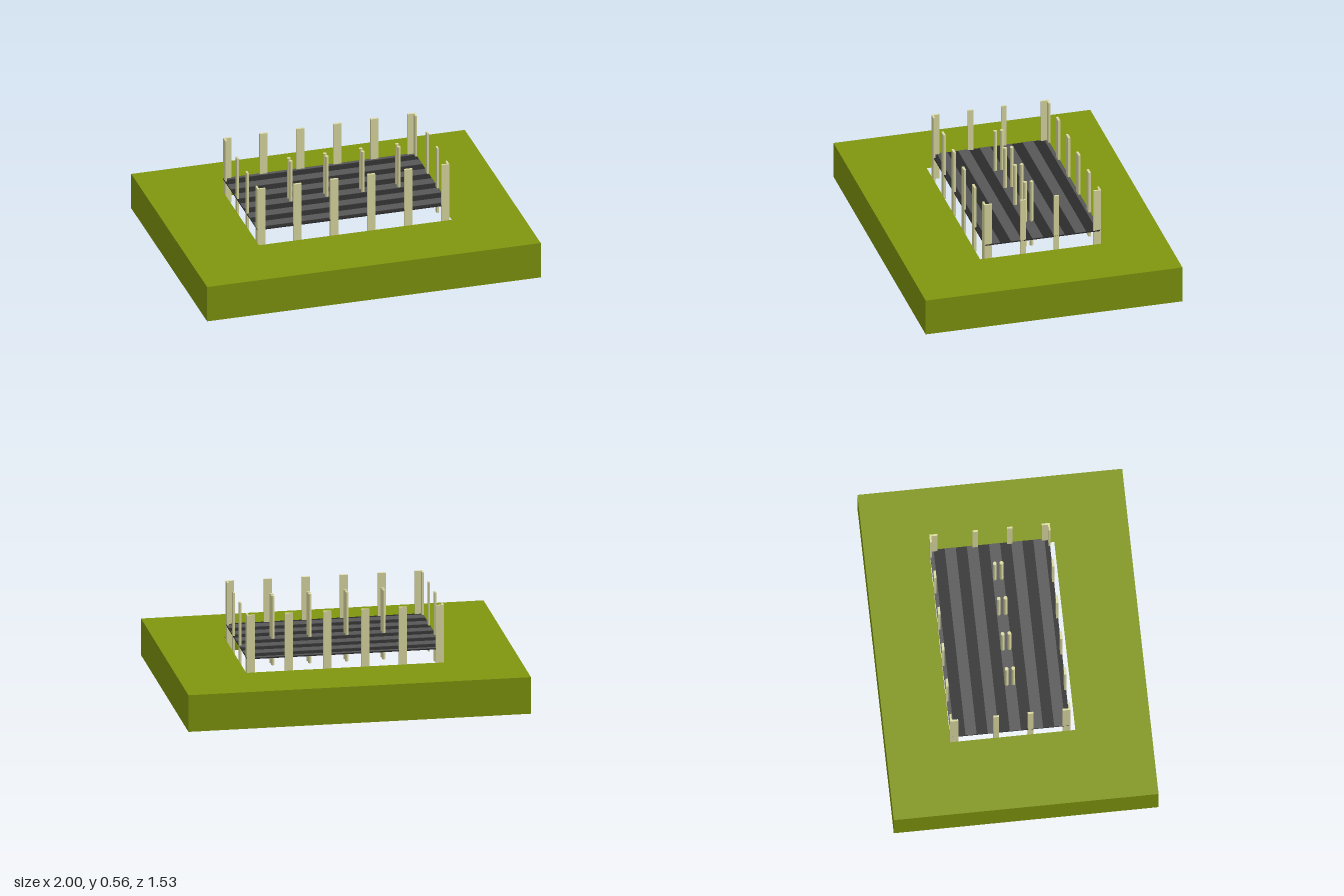
import * as THREE from 'three';

const mat = (color) => new THREE.MeshStandardMaterial({ color, side: THREE.DoubleSide });
const grass = mat(0x80960e);
const wood = mat(0xdcdaa2);
const dark = mat(0x2c2c2c);
const light = mat(0x575757);

// Box given by its limits on each axis
function block(parent, name, material, [x0, x1], [y0, y1], [z0, z1]) {
  const mesh = new THREE.Mesh(new THREE.BoxGeometry(x1 - x0, y1 - y0, z1 - z0), material);
  mesh.position.set((x0 + x1) / 2, (y0 + y1) / 2, (z0 + z1) / 2);
  mesh.name = name;
  parent.add(mesh);
  return mesh;
}

function rectangle(target, x0, x1, y0, y1) {
  target.moveTo(x0, y0).lineTo(x1, y0).lineTo(x1, y1).lineTo(x0, y1).closePath();
  return target;
}

export function createModel() {
  const model = new THREE.Group();
  model.name = 'pavilion';
  const ground = 0.22, halfDepth = 0.765;
  const left = 0.59, right = -0.56, front = 0.3, back = -0.39;
  const postY = [0.15, 0.565];

  // Hollow ground block: thin top with an opening, four thin walls, open below
  const shape = rectangle(new THREE.Shape(), -1, 1, -halfDepth, halfDepth);
  shape.holes.push(rectangle(new THREE.Path(), right, 0.595, -0.33, -back));
  const top = new THREE.Mesh(new THREE.ShapeGeometry(shape), grass);
  top.name = 'groundTop';
  top.rotation.x = -Math.PI / 2;
  top.position.y = ground;
  model.add(top);
  for (let i = 0; i < 4; i++) {
    const across = i % 2 === 0;
    const wall = new THREE.Mesh(new THREE.PlaneGeometry(across ? 2 : 2 * halfDepth, ground), grass);
    const angle = i * Math.PI / 2, reach = across ? halfDepth : 1;
    wall.name = 'groundWall';
    wall.rotation.y = angle;
    wall.position.set(Math.sin(angle) * reach, ground / 2, Math.cos(angle) * reach);
    model.add(wall);
  }

  // Deck slab with lighter stripes on top
  block(model, 'deck', dark, [right, left], [0.3, 0.307], [back, front]);
  const stripe = 0.064;
  for (let i = 0; i < 6; i++) {
    const z = back + 0.022 + stripe * (2 * i - 1);
    block(model, 'deckStripe', light, [right, left], [0.307, 0.309],
      [Math.max(z, back), z + stripe]);
  }

  // Flat posts along the front and back
  const t = 0.011, w = 0.047;
  for (const z of [[front - t, front + 0.003], [back - 0.003, back + t]]) {
    for (const x of [-0.32, -0.1, 0.122, 0.345]) {
      block(model, 'longSidePost', wood, [x - w / 2, x + w / 2], postY, z);
    }
  }

  // Narrow posts on the two short sides
  for (const x of [[right, right + t], [left - t, left]]) {
    for (const z of [-0.127, 0.072]) {
      block(model, 'shortSidePost', wood, x, postY, [z - 0.016, z + 0.016]);
    }
  }

  // Angled corner posts, each of two boards
  for (const sx of [-1, 1]) {
    for (const sz of [-1, 1]) {
      const corner = new THREE.Group();
      corner.name = 'cornerPost';
      corner.position.set(sx > 0 ? left : right, 0, sz > 0 ? front + 0.003 : back - 0.003);
      const span = (s, from, to) => (s > 0 ? [-to, -from] : [from, to]);
      block(corner, 'cornerBoard', wood, span(sx, 0, w), postY, span(sz, 0, t));
      block(corner, 'cornerBoard', wood, span(sx, 0, t), postY, span(sz, t, w));
      model.add(corner);
    }
  }

  // Paired round columns down the middle
  const height = postY[1] - postY[0];
  for (const x of [-0.272, -0.056, 0.16, 0.376]) {
    for (const z of [-0.037, 0.002]) {
      const column = new THREE.Mesh(new THREE.CylinderGeometry(0.011, 0.011, height, 12), wood);
      column.name = 'column';
      column.position.set(x, postY[0] + height / 2, z);
      model.add(column);
    }
  }
  return model;
}
